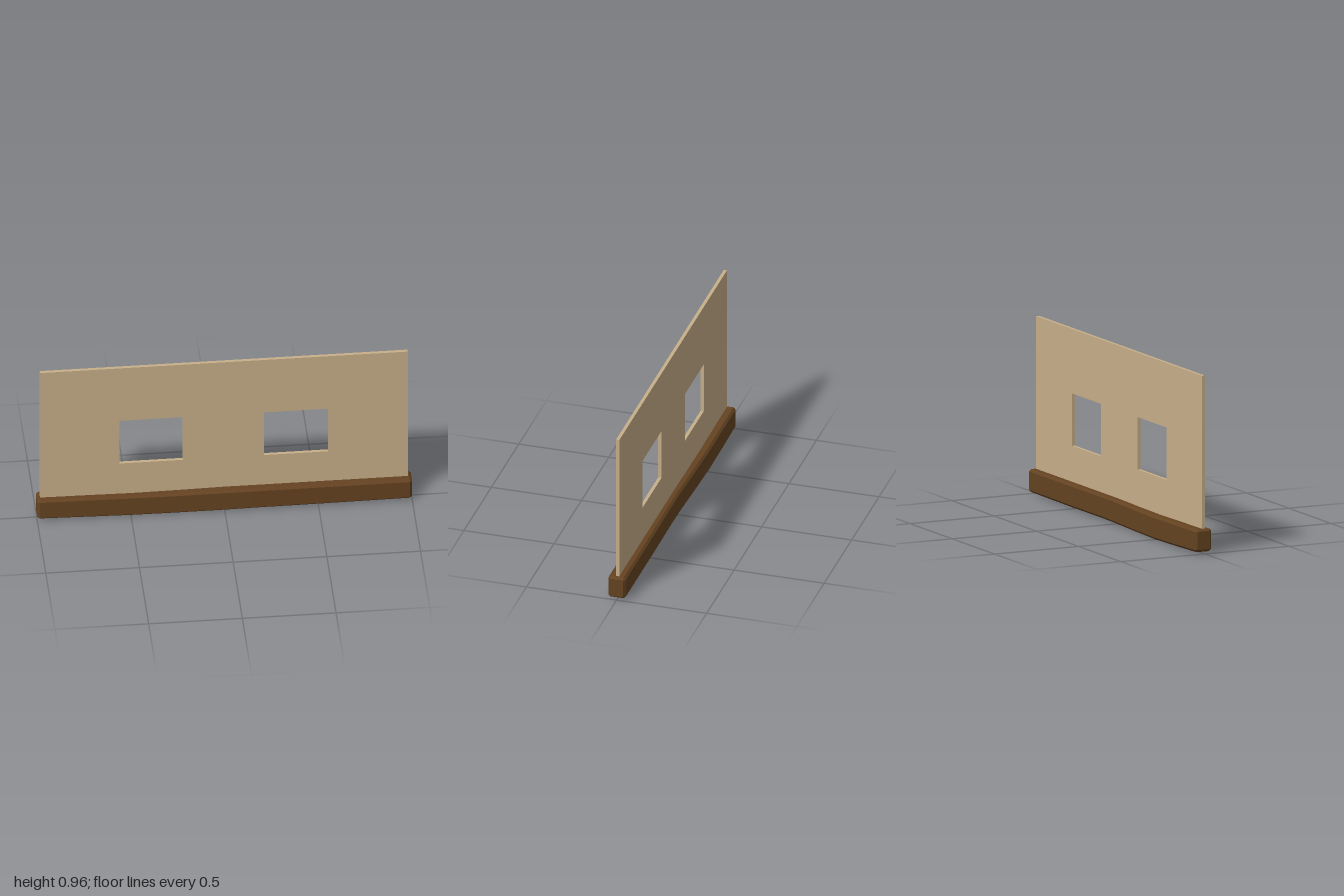
import * as THREE from 'three';

const wallTan = new THREE.MeshStandardMaterial({ color: 0xc8b08a });
wallTan.name = 'wallTan';
const timberBrown = new THREE.MeshStandardMaterial({ color: 0x654321, flatShading: true });
timberBrown.name = 'timberBrown';

// Rectangular hole path
function rectHole(x0, x1, y0, y1) {
  const p = new THREE.Path();
  p.moveTo(x0, y0);
  p.lineTo(x0, y1);
  p.lineTo(x1, y1);
  p.lineTo(x1, y0);
  p.closePath();
  return p;
}

// Thin wall panel with two window openings
function makeWall() {
  const s = new THREE.Shape();
  s.moveTo(-0.983, 0.0125);
  s.lineTo(0.98, 0.0125);
  s.lineTo(0.98, 0.963);
  s.lineTo(-0.983, 0.963);
  s.closePath();
  s.holes.push(rectHole(-0.56, -0.22, 0.332, 0.615), rectHole(0.212, 0.555, 0.332, 0.615));
  const g = new THREE.ExtrudeGeometry(s, { depth: 0.018, bevelEnabled: false });
  g.translate(0, 0, -0.009);
  const wall = new THREE.Mesh(g, wallTan);
  wall.name = 'wall';
  return wall;
}

// Slightly warped, chamfered timber: octagonal sections lofted along x
function makeBeam() {
  // x, centre z, bottom y, top y, inset, chamfer
  const stations = [
    [-1.0, -0.007, 0.016, 0.137, 0.011, 0.004],
    [-0.987, -0.007, 0.014, 0.137, 0, 0.012],
    [-0.75, -0.007, 0.008, 0.135, 0, 0.012],
    [-0.5, -0.006, 0.003, 0.132, 0, 0.012],
    [-0.25, -0.001, 0.005, 0.134, 0, 0.012],
    [0.0, 0.004, 0.009, 0.138, 0, 0.012],
    [0.15, 0.004, 0.011, 0.138, 0, 0.012],
    [0.5, 0.002, 0.011, 0.138, 0, 0.012],
    [0.987, 0.001, 0.014, 0.138, 0, 0.012],
    [1.0, 0.001, 0.014, 0.138, 0.011, 0.004],
  ];
  const pos = [];
  for (const [x, cz, y0, y1, inset, c] of stations) {
    const h = 0.0485 - inset, b = y0 + inset, t = y1 - inset;
    const ring = [[h, b + c], [h, t - c], [h - c, t], [c - h, t], [-h, t - c], [-h, b + c], [c - h, b], [h - c, b]];
    for (const [z, y] of ring) pos.push(x, y, cz + z);
  }
  const idx = [];
  const last = (stations.length - 1) * 8;
  for (let i = 0; i < last; i += 8) {
    for (let j = 0; j < 8; j++) {
      const k = (j + 1) % 8;
      idx.push(i + j, i + 8 + j, i + 8 + k, i + j, i + 8 + k, i + k);
    }
  }
  // End caps
  for (let j = 1; j < 7; j++) {
    idx.push(0, j, j + 1);
    idx.push(last, last + j + 1, last + j);
  }
  let g = new THREE.BufferGeometry();
  g.setAttribute('position', new THREE.Float32BufferAttribute(pos, 3));
  g.setIndex(idx);
  g = g.toNonIndexed();
  g.computeVertexNormals();
  const beam = new THREE.Mesh(g, timberBrown);
  beam.name = 'baseBeam';
  return beam;
}

export function createModel() {
  const group = new THREE.Group();
  group.name = 'windowWall';
  group.add(makeWall(), makeBeam());
  return group;
}
